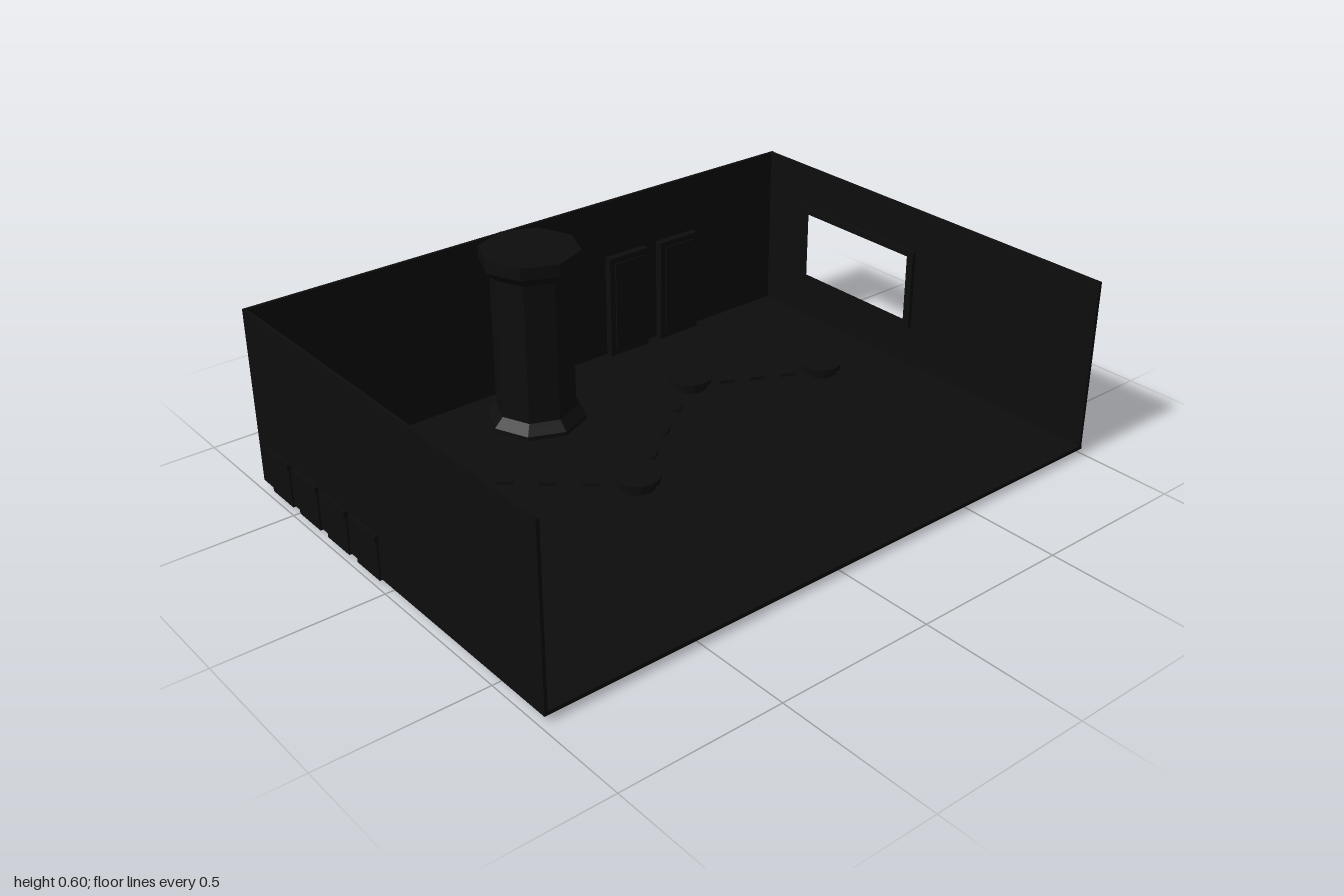
import * as THREE from 'three';

export function createModel() {
  const model = new THREE.Group();
  const dark = new THREE.MeshStandardMaterial({ color: 0x0d0d0d });
  dark.flatShading = true;

  const add = (name, geometry, x, y, z, parent = model) => {
    const mesh = new THREE.Mesh(geometry, dark);
    mesh.name = name;
    mesh.position.set(x, y, z);
    parent.add(mesh);
    return mesh;
  };
  // Box given by its minimum and maximum corners
  const box = (name, [x0, y0, z0], [x1, y1, z1], parent) =>
    add(name, new THREE.BoxGeometry(x1 - x0, y1 - y0, z1 - z0),
      (x0 + x1) / 2, (y0 + y1) / 2, (z0 + z1) / 2, parent);

  // Panel in the z-y plane with a rectangular opening, extruded along x
  const openPanel = (name, outer, hole, x0, x1) => {
    const corners = ([z0, y0, z1, y1]) =>
      [[-z0, y0], [-z1, y0], [-z1, y1], [-z0, y1]].map(p => new THREE.Vector2(...p));
    const shape = new THREE.Shape(corners(outer));
    shape.holes.push(new THREE.Path(corners(hole)));
    const geometry = new THREE.ExtrudeGeometry(shape, { depth: x1 - x0, bevelEnabled: false });
    geometry.rotateY(Math.PI / 2);
    return add(name, geometry, x0, 0, 0);
  };

  // Room shell, open at the front and top
  box('floor', [-0.985, 0.02, -0.7], [0.995, 0.032, 0.7]);
  box('backWall', [-0.985, 0.02, -0.7], [0.995, 0.57, -0.69]);
  box('rightWall', [-0.985, 0.02, -0.7], [-0.975, 0.57, 0.7]);
  openPanel('leftWall', [-0.7, 0.02, 0.7, 0.57], [-0.5, 0.18, -0.02, 0.42], 0.983, 0.993);
  openPanel('windowFrame', [-0.515, 0.165, -0.005, 0.43], [-0.485, 0.19, -0.03, 0.41], 0.97, 1);

  // Octagonal column with flared base and cap
  const profile = [
    [0, 0], [0.155, 0], [0.155, 0.045], [0.125, 0.075],
    [0.125, 0.53], [0.155, 0.56], [0.155, 0.6], [0, 0.6],
  ].map(p => new THREE.Vector2(...p));
  add('column', new THREE.LatheGeometry(profile, 8), -0.165, 0, -0.487);

  // Tall panels against the back wall
  for (const [x0, x1] of [[0.265, 0.42], [0.475, 0.63]]) {
    box('wallPanel', [x0, 0.03, -0.69], [x1, 0.38, -0.665]);
    box('panelInset', [x0 + 0.02, 0.05, -0.665], [x1 - 0.02, 0.36, -0.66]);
  }

  // Round platforms joined by dashed paths
  const stops = [[-0.58, -0.32], [-0.18, 0.035], [0.33, -0.34], [0.72, -0.15]];
  stops.forEach(([x, z], i) => {
    add('platformBase', new THREE.CylinderGeometry(0.055, 0.055, 0.03, 12), x, 0.04, z);
    add('platformTop', new THREE.CylinderGeometry(0.07, 0.07, 0.016, 12), x, 0.062, z);
    if (i === stops.length - 1) return;
    const [nx, nz] = stops[i + 1];
    for (const t of [0.28, 0.51, 0.75]) {
      const dash = add('pathDash', new THREE.BoxGeometry(0.05, 0.012, 0.018),
        x + (nx - x) * t, 0.036, z + (nz - z) * t);
      dash.rotation.y = -Math.atan2(nz - z, nx - x);
    }
  });

  // Row of crates along the wall, with small goods on top
  [-0.575, -0.418, -0.26, -0.1].forEach((z, i) => {
    const crate = new THREE.Group();
    crate.name = 'crate';
    crate.position.set(-0.935, 0, z);
    model.add(crate);
    box('crateBody', [-0.055, 0.015, -0.058], [0.055, 0.14, 0.058], crate);
    box('crateLid', [-0.062, 0.138, -0.063], [0.062, 0.157, 0.063], crate);
    if (i === 0) {
      const rod = add('rod', new THREE.BoxGeometry(0.1, 0.015, 0.015), 0, 0.165, 0, crate);
      rod.rotation.y = 0.7;
    } else if (i === 2) {
      box('tray', [-0.04, 0.157, -0.04], [0.04, 0.165, 0.04], crate);
    } else {
      for (const [x, dz] of [[-0.035, -0.02], [-0.015, 0.02], [0.02, 0.015]])
        add('goods', new THREE.CylinderGeometry(0.01, 0.01, 0.03, 8), x, 0.172, dz, crate);
    }
  });

  // Small strip under the floor
  box('lowerStrip', [-0.547, 0.004, -0.1], [-0.525, 0.01, -0.085]);

  return model;
}
